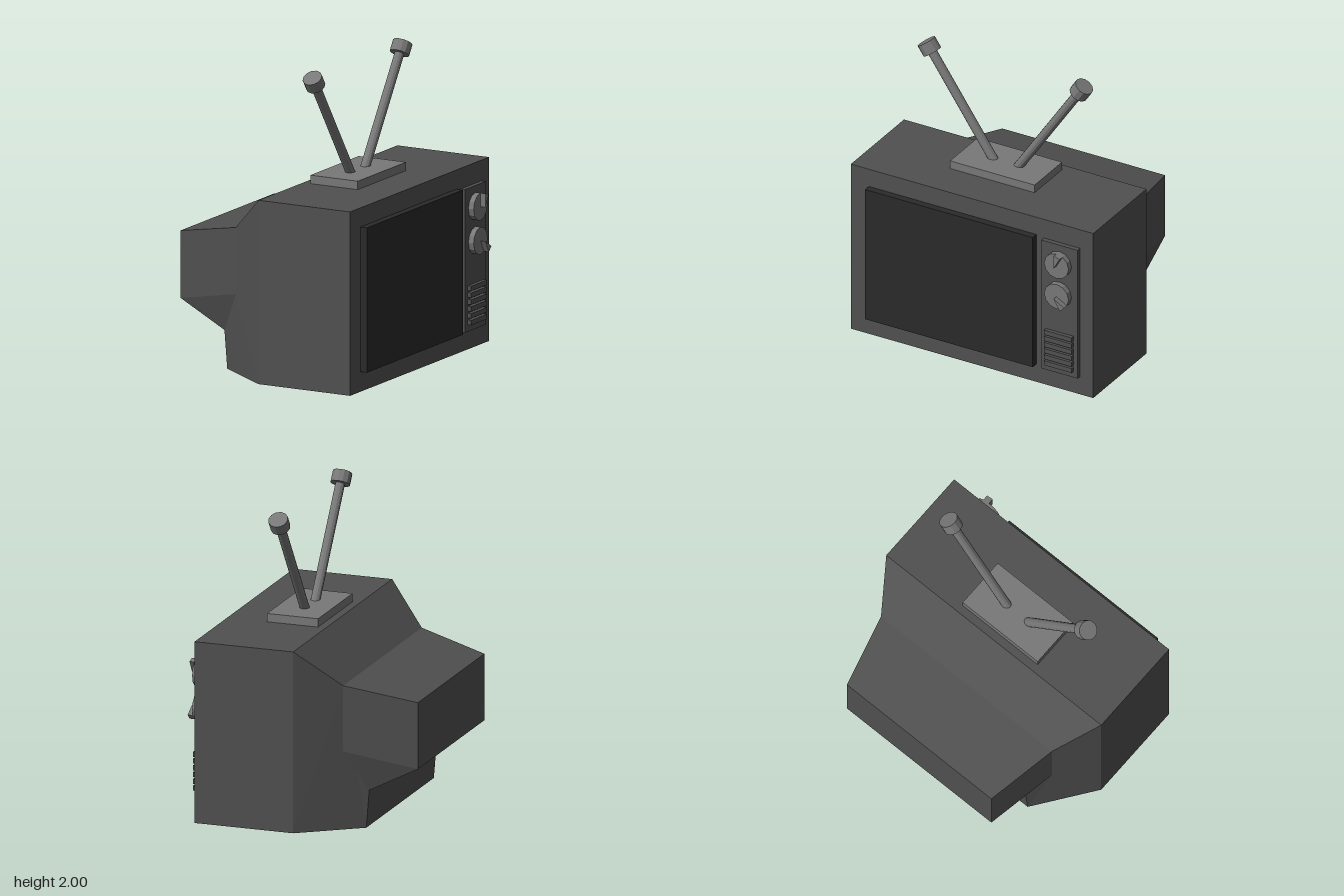
import * as THREE from 'three';

const mat = (color) => new THREE.MeshStandardMaterial({ color, flatShading: true });
const bodyMat = mat(0x505050), screenMat = mat(0x2a2a2a), metalMat = mat(0x787878);

function add(parent, name, geometry, material, x = 0, y = 0, z = 0) {
  const mesh = new THREE.Mesh(geometry, material);
  mesh.name = name;
  mesh.position.set(x, y, z);
  parent.add(mesh);
  return mesh;
}

// Box given by its extents along each axis
function box(parent, name, material, [x0, x1], [y0, y1], [z0, z1]) {
  return add(parent, name, new THREE.BoxGeometry(x1 - x0, y1 - y0, z1 - z0), material,
    (x0 + x1) / 2, (y0 + y1) / 2, (z0 + z1) / 2);
}

// Cabinet: corners of the +z side, mirrored, with the outline bridged across
function cabinetGeometry() {
  const p = {
    frontLow: [0.65, 0, 0.893], frontTop: [0.65, 1.2, 0.893],
    midTop: [-0.02, 1.2, 0.893], midLow: [-0.02, 0, 0.893],
    shoulder: [-0.29, 0.955, 0.71], fold: [-0.29, 0.52, 0.71],
    backTop: [-0.757, 0.86, 0.6], backLow: [-0.757, 0.42, 0.6],
    notch: [-0.43, 0.25, 0.61], foot: [-0.41, 0, 0.61],
  };
  const sideFaces = [
    ['frontLow', 'frontTop', 'midTop', 'midLow'],
    ['fold', 'notch', 'foot', 'midLow', 'midTop', 'shoulder'],
    ['fold', 'shoulder', 'backTop', 'backLow'],
    ['fold', 'backLow', 'notch'],
  ];
  const outline = ['frontLow', 'frontTop', 'midTop', 'shoulder', 'backTop', 'backLow', 'notch', 'foot', 'midLow'];
  const mirror = ([x, y, z]) => [x, y, -z];
  const out = [];
  const face = (pts) => {
    for (let i = 1; i < pts.length - 1; i++) out.push(...pts[0], ...pts[i], ...pts[i + 1]);
  };
  for (const names of sideFaces) {
    const pts = names.map((n) => p[n]);
    face(pts);
    face(pts.map(mirror).reverse());
  }
  outline.forEach((n, i) => {
    const a = p[n], b = p[outline[(i + 1) % outline.length]];
    face([b, a, mirror(a), mirror(b)]);
  });
  const g = new THREE.BufferGeometry();
  g.setAttribute('position', new THREE.Float32BufferAttribute(out, 3));
  g.computeVertexNormals();
  return g;
}

// Twelve-sided dial with a raised wedge covering one of its sectors
function dial(parent, name, y, sector) {
  const group = new THREE.Group();
  group.name = name;
  group.position.set(0.68, y, -0.662);
  group.rotation.y = Math.PI / 2;
  const r = 0.09;
  const disc = new THREE.CylinderGeometry(r, r, 0.04, 12).rotateX(Math.PI / 2);
  add(group, 'dialDisc', disc, metalMat, 0, 0, 0.02);
  const rim = (deg) => [r * Math.cos(deg * Math.PI / 180), r * Math.sin(deg * Math.PI / 180)];
  const wedge = new THREE.Shape();
  wedge.moveTo(0, 0);
  wedge.lineTo(...rim(sector));
  wedge.lineTo(...rim(sector + 30));
  wedge.closePath();
  add(group, 'dialPointer', new THREE.ExtrudeGeometry(wedge, { depth: 0.04, bevelEnabled: false }),
    metalMat, 0, 0, 0.035);
  parent.add(group);
}

// Leaning rod with a wider cap at its tip
function antenna(parent, name, zFoot, zTip) {
  const foot = new THREE.Vector3(0.205, 1.235, zFoot);
  const tip = new THREE.Vector3(0.205, 1.933, zTip);
  const dir = tip.clone().sub(foot);
  const length = dir.length();
  const group = new THREE.Group();
  group.name = name;
  group.position.copy(foot);
  group.quaternion.setFromUnitVectors(new THREE.Vector3(0, 1, 0), dir.normalize());
  add(group, 'antennaRod', new THREE.CylinderGeometry(0.031, 0.031, length, 12), metalMat, 0, length / 2, 0);
  add(group, 'antennaCap', new THREE.CylinderGeometry(0.064, 0.064, 0.078, 12), metalMat, 0, length, 0);
  parent.add(group);
}

export function createModel() {
  const tv = new THREE.Group();
  tv.name = 'television';

  add(tv, 'cabinet', cabinetGeometry(), bodyMat);
  box(tv, 'screen', screenMat, [0.64, 0.698], [0.13, 1.075], [-0.475, 0.76]);

  // Control panel with dials and speaker slats
  box(tv, 'controlPanel', bodyMat, [0.64, 0.682], [0.13, 1.065], [-0.797, -0.53]);
  dial(tv, 'upperDial', 0.93, 60);
  dial(tv, 'lowerDial', 0.708, -60);
  for (let i = 0; i < 6; i++) {
    const y = 0.191 + i * 0.0447;
    box(tv, 'speakerSlat', bodyMat, [0.67, 0.708], [y - 0.016, y + 0.016], [-0.768, -0.563]);
  }

  // Antenna pair on its base plate
  box(tv, 'antennaBase', metalMat, [0.033, 0.38], [1.19, 1.255], [-0.303, 0.32]);
  antenna(tv, 'leftAntenna', 0.095, 0.575);
  antenna(tv, 'rightAntenna', -0.075, -0.545);

  return tv;
}
